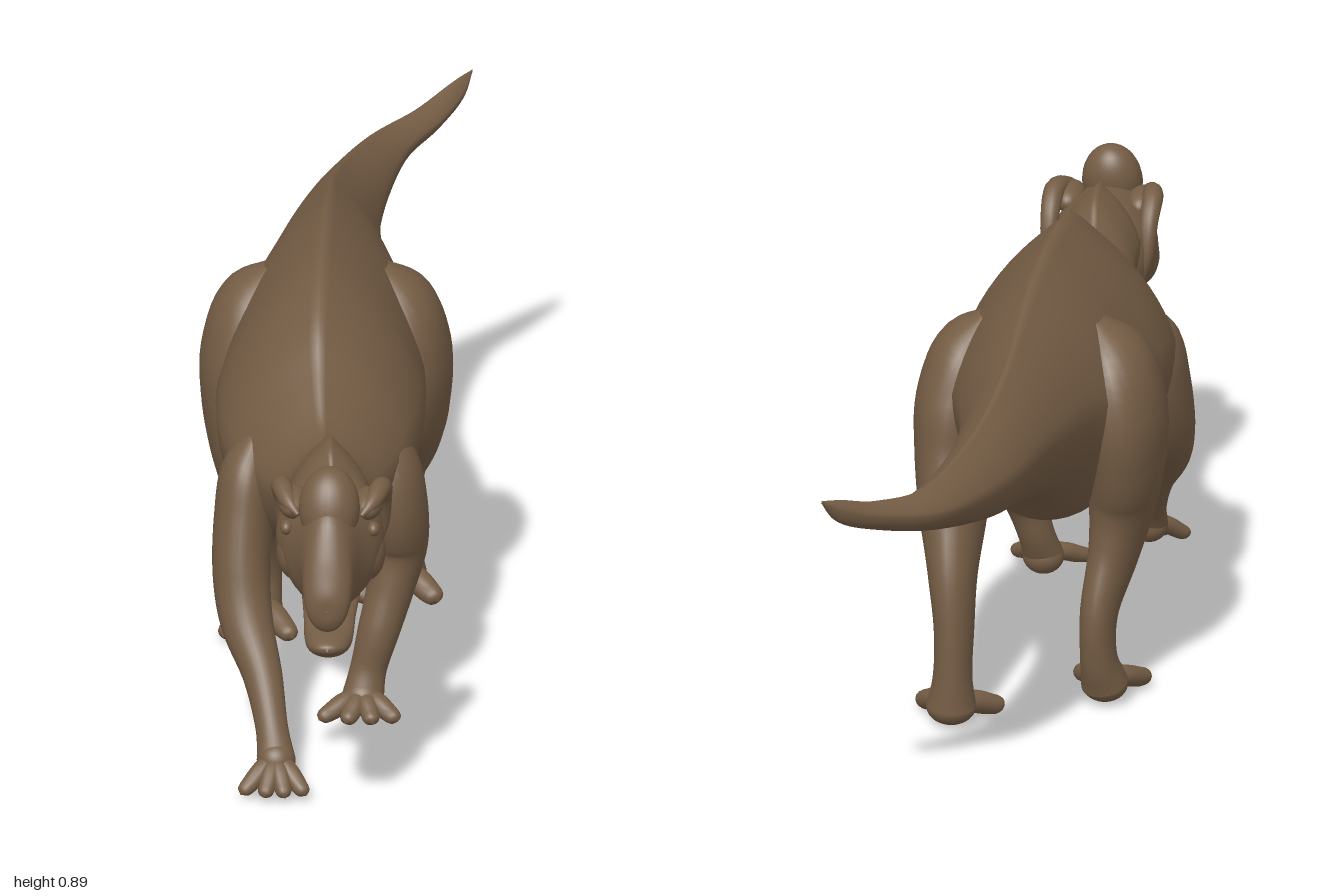
import * as THREE from 'three';

const hide = new THREE.MeshStandardMaterial({ color: 0x755d45 });
hide.name = 'brownHide';

function add(parent, name, geometry) {
  const mesh = new THREE.Mesh(geometry, hide);
  mesh.name = name;
  parent.add(mesh);
  return mesh;
}

// Smooth skin through rows [x, y, z, halfWidth, halfDepth].
// Rings follow the path, or stay upright when upright is true; ridge pinches the top.
function loft(rows, { upright = false, ridge = 0, sides = 28, steps = 5 } = {}) {
  const path = new THREE.CatmullRomCurve3(rows.map(r => new THREE.Vector3(r[0], r[1], r[2])), false, 'catmullrom', 0.5);
  const size = new THREE.CatmullRomCurve3(rows.map(r => new THREE.Vector3(r[3], r[4], 0)), false, 'catmullrom', 0.5);
  const n = (rows.length - 1) * steps;
  const pos = [], index = [];
  for (let i = 0; i <= n; i++) {
    const c = path.getPoint(i / n), s = size.getPoint(i / n);
    const t = upright ? new THREE.Vector3(0, 0, 1) : path.getTangent(i / n);
    const u = new THREE.Vector3(1, 0, 0).addScaledVector(t, -t.x).normalize();
    const v = t.clone().cross(u);
    for (let j = 0; j < sides; j++) {
      const a = j / sides * Math.PI * 2;
      const up = Math.max(0, Math.sin(a));
      const w = Math.cos(a) * (1 - ridge * 0.3 * up);
      const h = Math.sin(a) - ridge * 0.14 * up * (1 - Math.pow(1 - Math.abs(Math.cos(a)), 3));
      const p = c.clone().addScaledVector(u, w * Math.max(s.x, 0.0005)).addScaledVector(v, h * Math.max(s.y, 0.0005));
      pos.push(p.x, p.y, p.z);
      if (i < n) {
        const k = i * sides + j, l = i * sides + (j + 1) % sides;
        index.push(k, l, k + sides, l, l + sides, k + sides);
      }
    }
  }
  const g = new THREE.BufferGeometry();
  g.setAttribute('position', new THREE.Float32BufferAttribute(pos, 3));
  g.setIndex(index);
  g.computeVertexNormals();
  return g;
}

// Upright profile rows [centreX, top, bottom, z, halfWidth]
const profile = (rows, options) => loft(
  rows.map(([x, top, bottom, z, w]) => [x, (top + bottom) / 2, z, w, (top - bottom) / 2]),
  { upright: true, ...options });

function ellipsoid(parent, name, [x, y, z], [rx, ry, rz], tilt = 0) {
  const m = add(parent, name, new THREE.SphereGeometry(1, 28, 20));
  m.position.set(x, y, z);
  m.scale.set(rx, ry, rz);
  m.rotation.x = tilt;
  return m;
}

// Limb with a padded foot and toes fanned out to the given tip x positions
function limb(parent, name, rows, { tips, tipY, tipZ, r }) {
  const g = new THREE.Group();
  g.name = name;
  parent.add(g);
  add(g, name + 'Limb', loft(rows));
  const [x, y, z, w] = rows[rows.length - 1];
  ellipsoid(g, name + 'Pad', [x, y, z], [w, Math.min(y - 0.005, 0.036), w * 0.95]);
  const mid = (tips.length - 1) / 2;
  tips.forEach((tx, i) => {
    const tz = tipZ - 0.02 * Math.abs(i - mid) / mid;
    const at = (k, rise, rad) => [x + (tx - x) * k, y + (tipY - y) * k + rise, z + (tz - z) * k, rad, rad * 0.9];
    add(g, name + 'Toe', loft([
      at(0, 0.005, r * 1.1), at(0.4, 0.008, r * 1.1), at(0.72, 0.002, r), at(0.92, 0, r * 0.75), at(1, -0.002, 0),
    ], { sides: 14 }));
  });
}

export function createModel() {
  const model = new THREE.Group();
  model.name = 'dinosaur';

  // Tail, torso and neck in one skin
  add(model, 'body', profile([
    [0.238, 0.757, 0.753, -1, 0.001],
    [0.205, 0.748, 0.7, -0.965, 0.02],
    [0.15, 0.725, 0.665, -0.9, 0.035],
    [0.075, 0.72, 0.63, -0.8, 0.05],
    [0.02, 0.755, 0.575, -0.6, 0.07],
    [-0.002, 0.81, 0.53, -0.4, 0.092],
    [0, 0.86, 0.46, -0.22, 0.135],
    [0, 0.89, 0.37, -0.08, 0.175],
    [0, 0.9, 0.33, 0.05, 0.19],
    [0, 0.887, 0.328, 0.2, 0.2],
    [0, 0.83, 0.35, 0.33, 0.185],
    [0.005, 0.752, 0.39, 0.42, 0.15],
    [0.015, 0.685, 0.44, 0.51, 0.1],
    [0.025, 0.685, 0.475, 0.58, 0.08],
    [0.035, 0.735, 0.49, 0.65, 0.08],
    [0.04, 0.74, 0.52, 0.72, 0.078],
    [0.045, 0.7, 0.56, 0.77, 0.03],
  ], { ridge: 1, sides: 48, steps: 6 }));

  // Skull and beak
  const head = new THREE.Group();
  head.name = 'head';
  model.add(head);
  add(head, 'skull', profile([
    [0.04, 0.65, 0.53, 0.66, 0.03],
    [0.04, 0.695, 0.49, 0.71, 0.088],
    [0.042, 0.695, 0.475, 0.78, 0.103],
    [0.045, 0.69, 0.468, 0.84, 0.092],
    [0.045, 0.7, 0.468, 0.89, 0.066],
    [0.045, 0.685, 0.472, 0.93, 0.052],
    [0.045, 0.63, 0.472, 0.965, 0.047],
    [0.045, 0.58, 0.475, 0.987, 0.038],
    [0.045, 0.55, 0.495, 0.998, 0.02],
    [0.045, 0.525, 0.52, 1, 0.001],
  ], { sides: 36 }));
  add(head, 'lowerJaw', profile([
    [0.045, 0.51, 0.465, 0.77, 0.06],
    [0.045, 0.48, 0.43, 0.86, 0.05],
    [0.045, 0.455, 0.4, 0.91, 0.046],
    [0.045, 0.448, 0.405, 0.95, 0.037],
    [0.045, 0.44, 0.42, 0.972, 0.02],
    [0.045, 0.432, 0.428, 0.978, 0.001],
  ]));
  ellipsoid(head, 'crest', [0.045, 0.683, 0.873], [0.058, 0.08, 0.052], -0.3);

  // Brow frills, cheeks and eyes on both sides
  for (const s of [1, -1]) {
    const X = d => 0.045 + s * d;
    add(head, 'cheekFrill', loft([
      [X(0.06), 0.665, 0.87, 0.004, 0.004],
      [X(0.08), 0.68, 0.84, 0.016, 0.016],
      [X(0.095), 0.69, 0.79, 0.02, 0.02],
      [X(0.096), 0.655, 0.745, 0.018, 0.018],
      [X(0.094), 0.59, 0.725, 0.014, 0.014],
      [X(0.085), 0.53, 0.73, 0.003, 0.003],
    ], { sides: 14 }));
    ellipsoid(head, 'brow', [X(0.07), 0.668, 0.815], [0.03, 0.028, 0.05]);
    ellipsoid(head, 'cheek', [X(0.066), 0.56, 0.8], [0.038, 0.055, 0.06]);
    ellipsoid(head, 'eye', [X(0.083), 0.63, 0.85], [0.012, 0.014, 0.016]);
  }

  // Front legs in mid-stride
  limb(model, 'leftFrontLeg', [
    [0.11, 0.62, 0.34, 0.02, 0.03],
    [0.135, 0.55, 0.35, 0.055, 0.08],
    [0.15, 0.46, 0.35, 0.06, 0.09],
    [0.152, 0.37, 0.335, 0.058, 0.077],
    [0.14, 0.29, 0.36, 0.046, 0.058],
    [0.118, 0.21, 0.393, 0.04, 0.043],
    [0.1, 0.14, 0.405, 0.035, 0.034],
    [0.09, 0.088, 0.425, 0.04, 0.032],
  ], { tips: [0.008, 0.06, 0.112, 0.16], tipY: 0.068, tipZ: 0.51, r: 0.018 });
  limb(model, 'rightFrontLeg', [
    [-0.11, 0.62, 0.39, 0.02, 0.03],
    [-0.13, 0.55, 0.4, 0.05, 0.075],
    [-0.138, 0.46, 0.42, 0.056, 0.085],
    [-0.14, 0.36, 0.465, 0.055, 0.075],
    [-0.127, 0.28, 0.52, 0.05, 0.052],
    [-0.095, 0.2, 0.582, 0.038, 0.038],
    [-0.075, 0.12, 0.642, 0.031, 0.029],
    [-0.065, 0.065, 0.675, 0.037, 0.028],
  ], { tips: [-0.13, -0.085, -0.045, -0.005], tipY: 0.022, tipZ: 0.76, r: 0.017 });

  // Hind legs
  limb(model, 'leftHindLeg', [
    [0.1, 0.77, -0.05, 0.02, 0.03],
    [0.135, 0.7, -0.05, 0.07, 0.1],
    [0.157, 0.6, -0.055, 0.082, 0.13],
    [0.162, 0.5, -0.08, 0.075, 0.125],
    [0.153, 0.4, -0.14, 0.065, 0.1],
    [0.14, 0.3, -0.21, 0.047, 0.07],
    [0.132, 0.2, -0.237, 0.038, 0.057],
    [0.132, 0.11, -0.25, 0.037, 0.048],
    [0.135, 0.045, -0.25, 0.048, 0.05],
  ], { tips: [0.05, 0.125, 0.21], tipY: 0.022, tipZ: -0.15, r: 0.023 });
  limb(model, 'rightHindLeg', [
    [-0.1, 0.77, -0.04, 0.02, 0.03],
    [-0.135, 0.7, -0.04, 0.07, 0.1],
    [-0.157, 0.6, -0.04, 0.082, 0.13],
    [-0.162, 0.5, -0.03, 0.075, 0.125],
    [-0.153, 0.4, -0.02, 0.064, 0.105],
    [-0.14, 0.3, -0.045, 0.048, 0.08],
    [-0.122, 0.2, -0.095, 0.036, 0.058],
    [-0.122, 0.11, -0.104, 0.035, 0.043],
    [-0.13, 0.047, -0.085, 0.045, 0.045],
  ], { tips: [-0.195, -0.13, -0.06], tipY: 0.025, tipZ: 0.04, r: 0.022 });

  return model;
}
